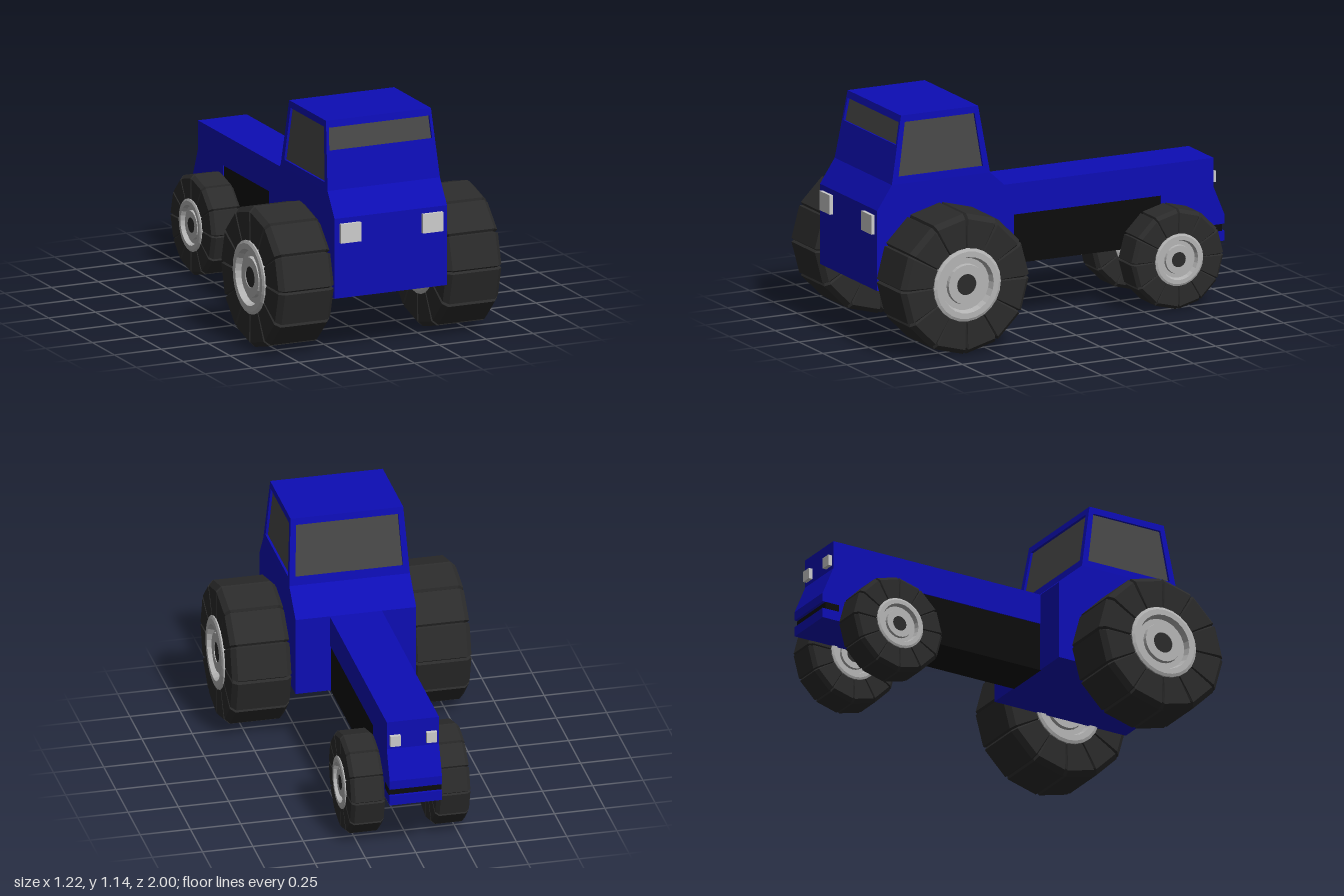
import * as THREE from 'three';

const mat = (color, extra = {}) => new THREE.MeshStandardMaterial({ color, ...extra });
const blue = mat(0x0d0db4, { flatShading: true });
const black = mat(0x0c0c0c, { flatShading: true });
const rubber = mat(0x2b2b2b, { flatShading: true });
const glass = mat(0x484848, { flatShading: true, side: THREE.DoubleSide });
const grey = mat(0xcccccc, { flatShading: true });
const rimGrey = mat(0xb4b4b4, { flatShading: true });

function add(parent, name, geometry, material, x = 0, y = 0, z = 0) {
  const mesh = new THREE.Mesh(geometry, material);
  mesh.name = name;
  mesh.position.set(x, y, z);
  parent.add(mesh);
  return mesh;
}

// Side profile given as [z, y], extruded across x and centred
function slab(profile, width) {
  const shape = new THREE.Shape(profile.map(([z, y]) => new THREE.Vector2(-z, y)));
  const g = new THREE.ExtrudeGeometry(shape, { depth: width, bevelEnabled: false });
  return g.translate(0, 0, -width / 2).rotateY(Math.PI / 2);
}

// Quads with corners counter-clockwise as seen from outside
function quads(list) {
  const g = new THREE.BufferGeometry();
  const pos = list.flatMap(([a, b, c, d]) => [a, b, c, a, c, d]).flatMap((p) => p.toArray());
  g.setAttribute('position', new THREE.Float32BufferAttribute(pos, 3));
  g.computeVertexNormals();
  return g;
}

// Cab wall with a recessed pane; corners bottom-left, bottom-right, top-right, top-left
function windowWall(parent, name, corners, u, v0, v1, depth = 0.012) {
  const [bl, br, tr, tl] = corners.map((c) => new THREE.Vector3(...c));
  const at = (s, t) => bl.clone().lerp(br, s).lerp(tl.clone().lerp(tr, s), t);
  const outer = [bl, br, tr, tl];
  const inner = [at(u, v0), at(1 - u, v0), at(1 - u, v1), at(u, v1)];
  const inward = br.clone().sub(bl).cross(tl.clone().sub(bl)).setLength(-depth);
  const sunk = inner.map((p) => p.clone().add(inward));
  const faces = [];
  for (let i = 0; i < 4; i++) {
    const j = (i + 1) % 4;
    faces.push([outer[i], outer[j], inner[j], inner[i]], [inner[i], inner[j], sunk[j], sunk[i]]);
  }
  add(parent, name + 'Frame', quads(faces), blue);
  add(parent, name + 'Window', quads([sunk]), glass);
}

// Twelve tread blocks separated by shallow grooves
function tyreGeometry(r, w) {
  const c = r * 0.07, h = w / 2;
  const profile = [[r * 0.48, -h], [r - c, -h], [r, -h + c], [r, h - c], [r - c, h], [r * 0.48, h]];
  const g = new THREE.LatheGeometry(profile.map((p) => new THREE.Vector2(...p)), 36);
  const pos = g.attributes.position;
  for (let n = 0; n < pos.count; n++) {
    const [pr, py] = profile[n % profile.length];
    const i = Math.floor(n / profile.length);
    const step = [0, 1.5, 28.5][i % 3];
    const a = THREE.MathUtils.degToRad(Math.floor(i / 3) * 30 + step);
    const groove = i % 3 === 0;
    const rr = groove && pr > r * 0.5 ? pr - r * 0.035 : pr;
    const yy = groove ? py - Math.sign(py) * r * 0.025 : py;
    pos.setXYZ(n, rr * Math.sin(a), yy, rr * Math.cos(a));
  }
  g.rotateZ(-Math.PI / 2);
  return g;
}

function wheel(name, r, w) {
  const group = new THREE.Group();
  group.name = name;
  add(group, 'tyre', tyreGeometry(r, w), rubber);
  // Stepped rim on both faces, as fractions of the tyre radius
  const steps = [[0.52, -0.06], [0.52, 0.02], [0.48, 0.038], [0.4, 0.038], [0.37, -0.05],
    [0.29, -0.05], [0.28, 0.0], [0.15, 0.0], [0.15, -0.05]];
  for (const side of [-1, 1]) {
    const face = new THREE.Group();
    face.name = 'rimFace';
    face.position.x = side * w / 2;
    face.rotation.z = -side * Math.PI / 2;
    const pts = steps.map(([a, b]) => new THREE.Vector2(a * r, b * r));
    add(face, 'rim', new THREE.LatheGeometry(pts, 24), rimGrey);
    add(face, 'hubCentre', new THREE.CylinderGeometry(0.15 * r, 0.15 * r, 0.02, 24), rubber, 0, -0.04 * r, 0);
    group.add(face);
  }
  return group;
}

export function createModel() {
  const model = new THREE.Group();
  model.name = 'tractor';

  // Cab: lower body, four window walls and roof
  const cab = new THREE.Group();
  cab.name = 'cab';
  model.add(cab);
  add(cab, 'cabBody', slab([[0.98, 0.29], [0.235, 0.29], [0.235, 0.69], [0.365, 0.81],
    [0.9, 0.81], [0.98, 0.69]].reverse(), 0.6), blue);
  const X = 0.3, x = 0.28, y0 = 0.81, y1 = 1.145;
  const F = 0.9, f = 0.84, B = 0.365, b = 0.42;
  windowWall(cab, 'front', [[-X, y0, F], [X, y0, F], [x, y1, f], [-x, y1, f]], 0.025, 0.567, 0.896);
  windowWall(cab, 'back', [[X, y0, B], [-X, y0, B], [-x, y1, b], [x, y1, b]], 0.05, 0.12, 0.9);
  windowWall(cab, 'left', [[X, y0, F], [X, y0, B], [x, y1, b], [x, y1, f]], 0.06, 0.105, 0.9);
  windowWall(cab, 'right', [[-X, y0, B], [-X, y0, F], [-x, y1, f], [-x, y1, b]], 0.06, 0.105, 0.9);
  const roof = [[-x, y1, f], [x, y1, f], [x, y1, b], [-x, y1, b]].map((p) => new THREE.Vector3(...p));
  add(cab, 'roof', quads([roof]), blue);

  // Long bonnet with a stepped end and a notch for the bumper strip
  add(model, 'bonnet', slab([[0.24, 0.69], [0.24, 0.535], [-0.655, 0.535], [-0.655, 0.27],
    [-1, 0.27], [-1, 0.32], [-0.982, 0.32], [-0.982, 0.355], [-1, 0.355], [-1, 0.4],
    [-0.94, 0.545], [-0.94, 0.69]].reverse(), 0.26), blue);
  add(model, 'engineBlock', new THREE.BoxGeometry(0.25, 0.245, 0.895), black, 0, 0.4125, -0.2075);
  add(model, 'bumperStrip', new THREE.BoxGeometry(0.263, 0.034, 0.075), black, 0, 0.3375, -0.9475);

  // Lamps and wheels, mirrored left and right
  for (const [side, s] of [['left', 1], ['right', -1]]) {
    add(model, side + 'FrontLamp', new THREE.BoxGeometry(0.108, 0.096, 0.03), grey, s * 0.219, 0.615, 0.982);
    add(model, side + 'BackLamp', new THREE.BoxGeometry(0.052, 0.055, 0.03), grey, s * 0.09, 0.592, -0.945);
    const big = wheel(side + 'LargeWheel', 0.35, 0.295);
    big.position.set(s * 0.4475, 0.35, 0.645);
    const small = wheel(side + 'SmallWheel', 0.25, 0.168);
    small.position.set(s * 0.212, 0.252, -0.665);
    model.add(big, small);
  }
  return model;
}
